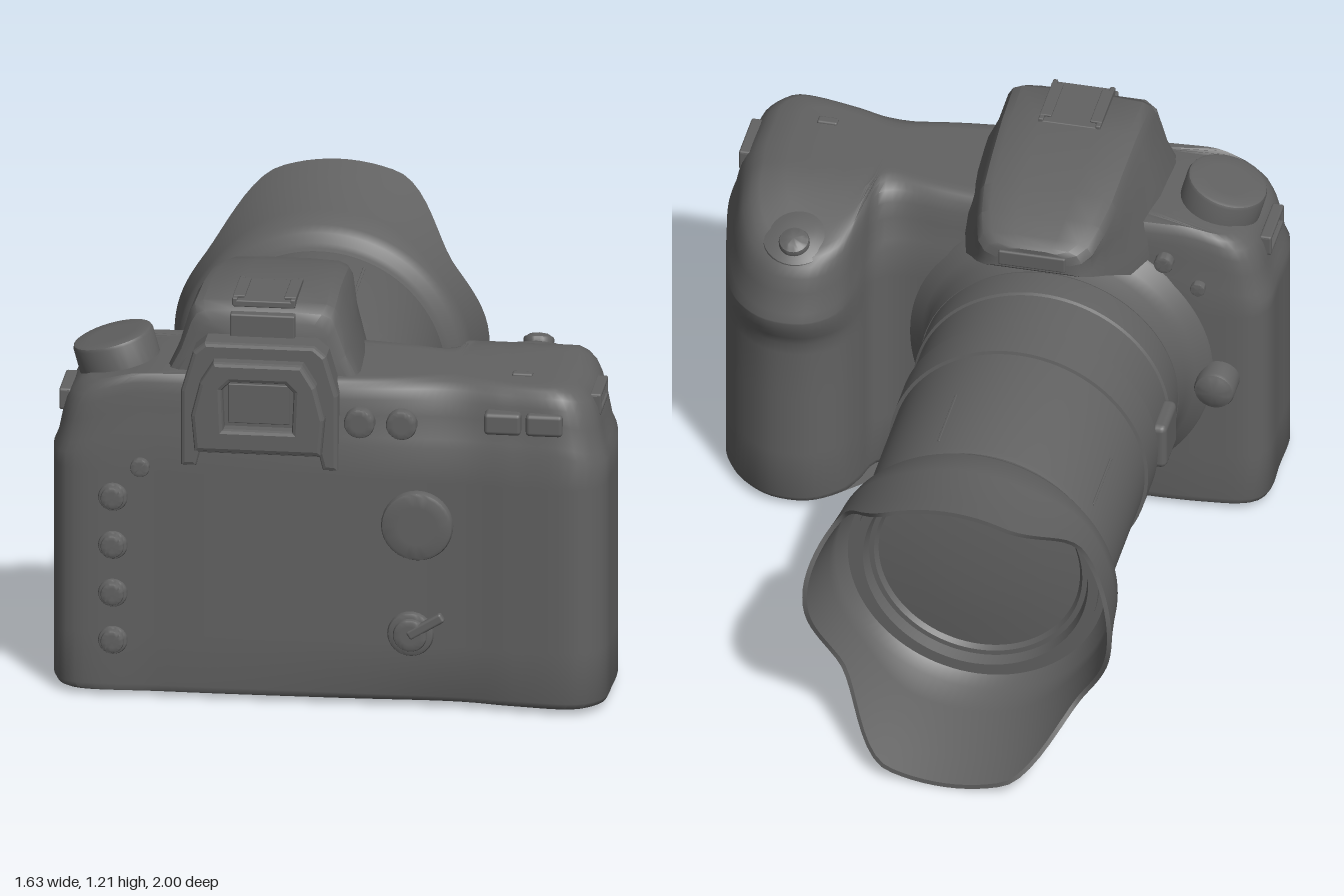
import * as THREE from 'three';
import { toCreasedNormals, mergeVertices } from 'three/addons/utils/BufferGeometryUtils.js';
import { RoundedBoxGeometry } from 'three/addons/geometries/RoundedBoxGeometry.js';

const CX = -0.21, CY = 0.505; // lens axis
const V = (x, y, z) => new THREE.Vector3(x, y, z);
const smooth = THREE.MathUtils.smoothstep, lerp = THREE.MathUtils.lerp;

// Skins a list of closed rings, caps both ends and turns the faces outward
function loft(rings, crease = 0.6) {
  const n = rings[0].length, pos = [], idx = [];
  rings.forEach(r => r.forEach(p => pos.push(p.x, p.y, p.z)));
  for (let i = 0; i < rings.length - 1; i++) for (let j = 0; j < n; j++) {
    const a = i * n + j, b = i * n + (j + 1) % n;
    idx.push(a, b, b + n, a, b + n, a + n);
  }
  [0, rings.length - 1].forEach((k, e) => {
    const c = V(0, 0, 0);
    rings[k].forEach(p => c.addScaledVector(p, 1 / n));
    const m = pos.length / 3;
    pos.push(c.x, c.y, c.z);
    for (let j = 0; j < n; j++) {
      const a = k * n + j, b = k * n + (j + 1) % n;
      e ? idx.push(a, b, m) : idx.push(b, a, m);
    }
  });
  let volume = 0;
  const P = i => V(pos[3 * i], pos[3 * i + 1], pos[3 * i + 2]);
  for (let i = 0; i < idx.length; i += 3) volume += P(idx[i]).dot(P(idx[i + 1]).cross(P(idx[i + 2])));
  if (volume < 0) idx.reverse();
  const g = new THREE.BufferGeometry();
  g.setAttribute('position', new THREE.Float32BufferAttribute(pos, 3));
  g.setIndex(idx);
  return toCreasedNormals(mergeVertices(g, 1e-5), crease);
}

// Ring round the lens axis; radius and depth may depend on the angle
function lensRing(fn, n = 96) {
  return Array.from({ length: n }, (_, i) => {
    const a = i / n * Math.PI * 2, [r, z] = fn(a);
    return V(CX + r * Math.sin(a), CY + r * Math.cos(a), z);
  });
}
const turned = profile => loft(profile.map(p => lensRing(() => p)));

// Height of the top deck
function topY(x, z) {
  return 0.995 - 0.06 * smooth(-x, 0.55, 0.8) - 0.03 * smooth(x, 0.66, 0.8) - 0.1 * (1 - smooth(z, 0.22, 0.55));
}

function bodyGeometry() {
  const plan = [[-0.81, 0.86], [-0.77, 0.925], [-0.5, 0.935], [0, 0.935], [0.4, 0.935], [0.55, 0.95], [0.74, 0.95],
    [0.8, 0.89], [0.81, 0.78], [0.81, 0.64], [0.785, 0.5], [0.755, 0.37], [0.7, 0.265], [0.62, 0.2], [0.54, 0.185],
    [0.47, 0.2], [0.4, 0.265], [0.365, 0.36], [0.335, 0.46], [0.27, 0.49], [0.1, 0.49], [-0.3, 0.49], [-0.65, 0.5],
    [-0.78, 0.525], [-0.813, 0.57], [-0.815, 0.7]];
  const pts = new THREE.CatmullRomCurve3(plan.map(([x, z]) => V(x, 0, z)), true, 'centripetal').getSpacedPoints(160).slice(0, -1);
  const c = V(0.35, 0, 0.72), rings = [];
  const inset = (p, d) => p.clone().addScaledVector(c.clone().sub(p).normalize(), d);
  const grip = (q, y) => { // finger recess below the shutter ledge
    if (q.z < 0.45) q.z += 0.045 * (1 - smooth(y, 0.58, 0.7)) * (1 - smooth(q.z, 0.2, 0.45));
    q.y = y;
    return q;
  };
  [[0.025, 0.02], [0.03, 0.008], [0.045, 0], [0.2, 0], [0.4, 0], [0.56, 0], [0.6, 0], [0.63, 0], [0.66, 0], [0.7, 0]]
    .forEach(([y, d]) => rings.push(pts.map(p => grip(inset(p, d), y))));
  [[0.19, 0], [0.165, 0.012], [0.1, 0.025], [0.055, 0.038], [0.025, 0.055], [0.008, 0.08], [0, 0.11]]
    .forEach(([drop, d]) => rings.push(pts.map(p => {
      const q = inset(p, d);
      return grip(q, topY(q.x, q.z) - drop);
    })));
  [0.8, 0.6, 0.4, 0.2, 0.05].forEach(s => rings.push(pts.map(p => {
    const q = c.clone().lerp(inset(p, 0.11), s);
    q.y = topY(q.x, q.z);
    return q;
  })));
  return loft(rings, 0.7);
}

// Viewfinder hump: rounded trapezoid sections [z, base half width, top half width, base y, top y]
function humpGeometry() {
  const section = ([z, wb, wt, y0, y1]) => {
    const h = y1 - y0, half = [[wb, 0], [wb * 0.97, h * 0.2], [lerp(wb, wt, 0.6), h * 0.55], [wt + 0.01, h - 0.04],
      [wt - 0.005, h - 0.015], [wt - 0.03, h - 0.004], [wt * 0.4, h]];
    const mirrored = half.map(([x, y]) => [-x, y]).reverse();
    return half.concat(mirrored).map(([x, y]) => V(-0.2 + x, y0 + y, z));
  };
  return loft([[0.87, 0.28, 0.18, 0.9, 1.15], [0.855, 0.3, 0.2, 0.9, 1.18], [0.82, 0.305, 0.21, 0.9, 1.2],
    [0.65, 0.295, 0.205, 0.9, 1.205], [0.5, 0.275, 0.2, 0.88, 1.19], [0.38, 0.245, 0.195, 0.9, 1.17],
    [0.28, 0.205, 0.18, 0.965, 1.145], [0.21, 0.175, 0.16, 1.005, 1.12], [0.18, 0.145, 0.135, 1.02, 1.108],
    [0.17, 0.11, 0.1, 1.03, 1.1]].map(section), 0.6);
}

// Petal hood, running from the outer collar over the rim and back to the front glass
function hoodGeometry() {
  const rim = a => {
    const d = Math.acos(Math.abs(Math.cos(a))) * 180 / Math.PI; // angle from vertical
    return d < 55 ? lerp(-1, -0.785, smooth(d, 20, 55)) : lerp(-0.785, -0.845, smooth(d, 55, 88));
  };
  const wall = z => 0.427 + (-0.62 - z) * (0.1 + 0.22 * (-0.62 - z));
  const rings = [[0.36, -0.5], [0.376, -0.555], [0.385, -0.575], [0.41, -0.595]].map(p => lensRing(() => p));
  const shell = (f, t) => rings.push(lensRing(a => {
    const z = lerp(-0.62, rim(a), f);
    return [wall(z) - t, z];
  }, 96));
  [0, 0.25, 0.5, 0.75, 1].forEach(f => shell(f, 0));
  [1, 0.75, 0.5, 0.25, 0].forEach(f => shell(f, 0.014));
  [[0.385, -0.585], [0.365, -0.585], [0.365, -0.605], [0.335, -0.605], [0.325, -0.57], [0.31, -0.57], [0.3, -0.555],
    [0.2, -0.567], [0.1, -0.574]].forEach(p => rings.push(lensRing(() => p)));
  return loft(rings);
}

// Extruded outline with an optional hole, bevelled, starting at depth z
function plate(outline, hole, z, depth, bevel) {
  const shape = new THREE.Shape(outline.map(p => new THREE.Vector2(...p)));
  if (hole) shape.holes.push(new THREE.Path(hole.map(p => new THREE.Vector2(...p))));
  return new THREE.ExtrudeGeometry(shape, { depth: depth - 2 * bevel, bevelSize: bevel, bevelThickness: bevel,
    bevelOffset: -bevel, bevelSegments: 2 }).translate(0, 0, z + bevel);
}

// Short turned button along y with a softened top edge
function knob(r, h, dome = 0) {
  const e = Math.min(0.012, r * 0.2);
  return toCreasedNormals(new THREE.LatheGeometry([[0, 0], [r, 0], [r, h - e], [r - e * 0.3, h - e * 0.3], [r - e, h],
    [r * 0.55, h + dome * 0.7], [0, h + dome]].map(p => new THREE.Vector2(...p)), 32), 0.6);
}

export function createModel() {
  const model = new THREE.Group();
  const charcoal = new THREE.MeshStandardMaterial({ color: 0x626262 });
  charcoal.name = 'charcoal';
  const add = (name, geometry, at = [0, 0, 0], turn = [0, 0, 0]) => {
    const mesh = new THREE.Mesh(geometry, charcoal);
    mesh.name = name;
    mesh.position.set(...at);
    mesh.rotation.set(...turn);
    model.add(mesh);
    return mesh;
  };
  const box = (name, w, h, d, at, turn, r = 0.01) => add(name, new RoundedBoxGeometry(w, h, d, 2, r), at, turn);
  const backButton = (name, r, x, y, h = 0.03) => add(name, knob(r, h), [x, y, 0.93], [Math.PI / 2, 0, 0]);

  add('body', bodyGeometry());
  add('viewfinderHump', humpGeometry());

  // Lens
  add('lensMount', turned([[0.47, 0.6], [0.465, 0.52], [0.445, 0.49], [0.41, 0.46], [0.39, 0.42], [0.385, 0.35]]));
  add('lensBarrel', turned([[0.37, 0.5], [0.383, 0.45], [0.383, 0.25], [0.376, 0.245], [0.376, 0.08], [0.386, 0.078],
    [0.386, -0.048], [0.376, -0.05], [0.376, -0.52], [0.37, -0.55]]));
  add('lensHood', hoodGeometry());
  for (const x of [-0.53, -0.07]) {
    const dx = x - CX;
    box('lensMark', 0.008, 0.008, 0.23, [x, CY + Math.sqrt(0.376 ** 2 - dx * dx), -0.36], [0, 0, -Math.asin(dx / 0.376)], 0.002);
  }
  box('lensSwitch', 0.05, 0.15, 0.15, [-0.59, 0.5, 0.175], undefined, 0.02);
  add('lensRelease', knob(0.06, 0.09, 0.01), [-0.68, 0.48, 0.52], [-Math.PI / 2, 0, 0]);
  add('frontButton', knob(0.028, 0.04), [-0.52, 0.88, 0.51], [-Math.PI / 2, 0, 0]);
  add('frontButton', knob(0.022, 0.04), [-0.62, 0.8, 0.52], [-Math.PI / 2, 0, 0]);

  // Eyepiece with a recessed window
  const frame = [[-0.43, 0.73], [-0.385, 0.73], [-0.375, 0.77], [-0.025, 0.77], [-0.015, 0.73], [0.03, 0.73],
    [0.03, 0.96], [-0.005, 1.08], [-0.04, 1.11], [-0.36, 1.11], [-0.395, 1.08], [-0.43, 0.96]];
  add('eyepieceFrame', plate(frame, null, 0.84, 0.115, 0.012));
  const cup = [[-0.385, 0.79], [-0.015, 0.79], [-0.005, 0.9], [-0.03, 1], [-0.07, 1.065], [-0.33, 1.065], [-0.37, 1], [-0.395, 0.9]];
  const opening = [[-0.3, 0.86], [-0.1, 0.86], [-0.095, 0.98], [-0.12, 1.005], [-0.28, 1.005], [-0.305, 0.98]];
  add('eyecup', plate(cup, opening, 0.945, 0.055, 0.012));
  box('eyepieceWindow', 0.18, 0.12, 0.008, [-0.2, 0.93, 0.958], undefined, 0.003);

  // Accessory shoe
  box('shoePlate', 0.18, 0.02, 0.2, [-0.2, 1.198, 0.75], undefined, 0.004);
  for (const s of [-1, 1]) {
    box('shoeRail', 0.015, 0.025, 0.2, [-0.2 + s * 0.085, 1.203, 0.75], undefined, 0.004);
    box('shoeLip', 0.035, 0.008, 0.16, [-0.2 + s * 0.075, 1.213, 0.75], undefined, 0.003);
  }
  box('shoeBack', 0.19, 0.075, 0.04, [-0.2, 1.14, 0.865], undefined, 0.006);
  box('flashPanel', 0.2, 0.05, 0.02, [-0.2, 1.062, 0.173], undefined, 0.006);

  // Top controls
  add('modeDial', knob(0.12, 0.12), [-0.628, 0.925, 0.71], [0, 0, 0.27]);
  add('shutterButton', knob(0.105, 0.035, 0.02), [0.535, 0.885, 0.345], [-0.38, 0, 0]);
  add('shutterRelease', knob(0.045, 0.02, 0.01), [0.535, 0.918, 0.29], [-0.38, 0, 0]);
  box('topButton', 0.13, 0.02, 0.045, [0.445, 0.975, 0.51], [-0.25, -0.1, 0], 0.008);
  box('topButton', 0.12, 0.02, 0.045, [0.595, 0.975, 0.51], [-0.25, 0.1, 0], 0.008);
  box('deckButton', 0.06, 0.02, 0.03, [0.55, 0.992, 0.79], undefined, 0.006);

  // Strap loops on both flanks
  for (const s of [-1, 1]) {
    const x = s > 0 ? 0.765 : -0.785, y = s > 0 ? 0.92 : 0.87;
    for (const e of [-1, 1]) {
      box('strapLoopBar', 0.035, 0.015, 0.17, [x, y + e * 0.025, 0.73], undefined, 0.006);
      box('strapLoopEnd', 0.035, 0.06, 0.015, [x, y, 0.73 + e * 0.078], undefined, 0.006);
    }
  }

  // Rear controls
  for (const y of [0.62, 0.472, 0.325, 0.18]) {
    backButton('rearButton', 0.043, -0.63, y, 0.018);
    backButton('rearButtonCap', 0.034, -0.63, y, 0.03);
  }
  backButton('smallRearButton', 0.028, -0.55, 0.715, 0.025);
  for (const x of [0.092, 0.215]) backButton('upperRearButton', 0.045, x, 0.88);
  for (const x of [0.51, 0.632]) box('zoomButton', 0.108, 0.066, 0.06, [x, 0.895, 0.928], undefined, 0.012);
  backButton('controlPad', 0.105, 0.26, 0.57, 0.028);
  backButton('powerSwitch', 0.068, 0.24, 0.235, 0.018);
  backButton('powerSwitchHub', 0.05, 0.24, 0.235, 0.03);
  box('powerLever', 0.12, 0.03, 0.025, [0.285, 0.265, 0.95], [0, 0, 0.55], 0.008);

  // Underside
  add('tripodSocket', new THREE.TorusGeometry(0.022, 0.006, 8, 24), [-0.2, 0.025, 0.7], [Math.PI / 2, 0, 0]);
  return model;
}
